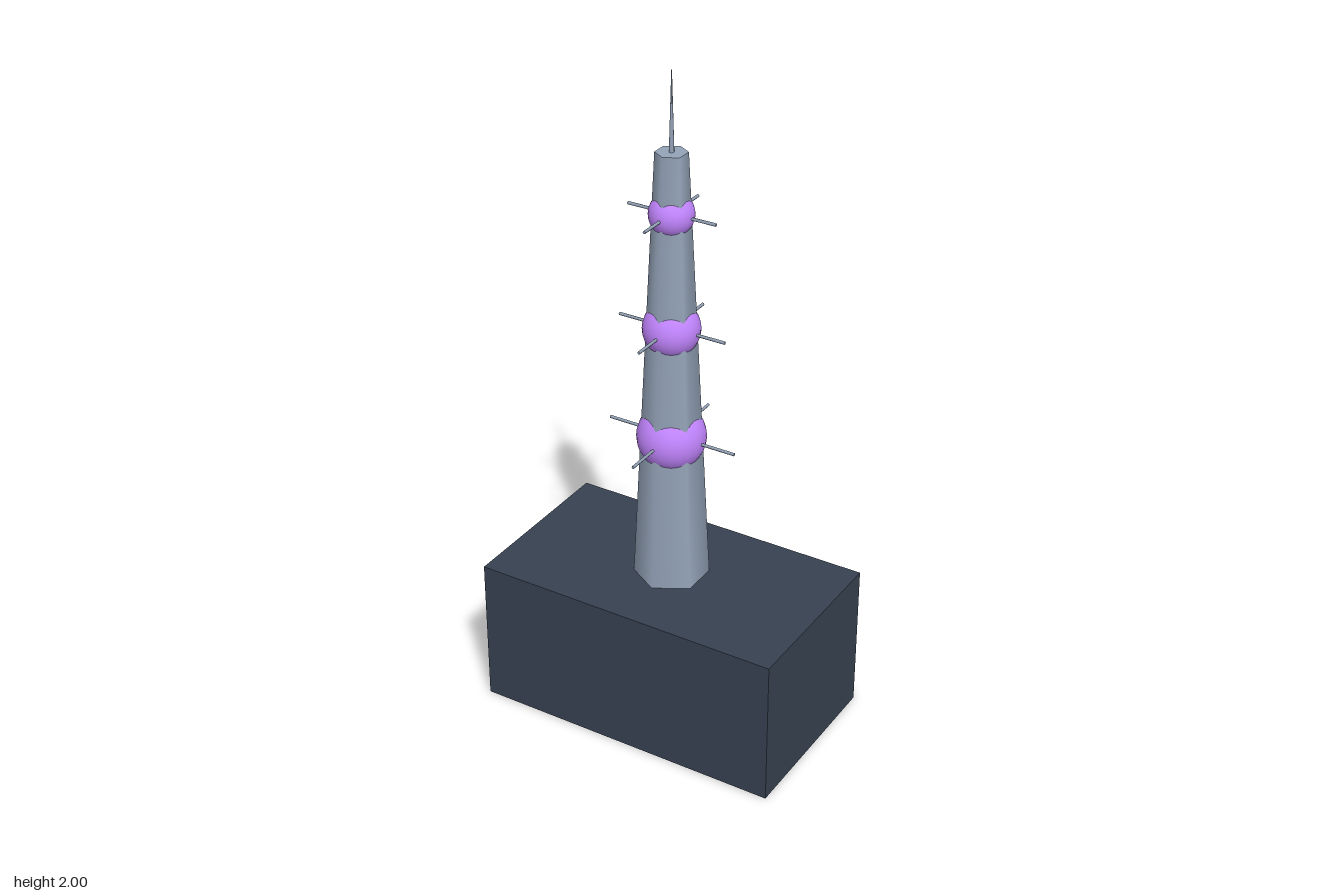
import * as THREE from 'three';

const paint = (color) => new THREE.MeshStandardMaterial({ color });

export function createModel() {
  const model = new THREE.Group();
  const slate = paint(0x374151);
  const steel = paint(0x94a3b8);
  const violet = paint(0xc084fc);

  const add = (name, geometry, material, y, parent = model) => {
    const mesh = new THREE.Mesh(geometry, material);
    mesh.name = name;
    mesh.position.y = y;
    parent.add(mesh);
    return mesh;
  };

  // Building block under the tower
  const baseH = 0.4545;
  add('base', new THREE.BoxGeometry(0.9545, baseH, 0.5455), slate, baseH / 2);

  // Tapered six-sided tower, a corner facing the front
  const towerTop = 1.7727;
  const towerH = towerTop - baseH;
  add('tower', new THREE.CylinderGeometry(0.0455, 0.11, towerH, 6), steel, baseH + towerH / 2);

  // Needle on the tower top
  const needleH = 2 - towerTop;
  add('antenna', new THREE.CylinderGeometry(0.001, 0.0075, needleH, 8), steel, towerTop + needleH / 2);

  // Three globes, each with four spikes: [height, globe radius, spike reach]
  const tiers = [
    [0.911, 0.1, 0.204],
    [1.252, 0.082, 0.169],
    [1.595, 0.0637, 0.1375],
  ];
  for (const [y, radius, reach] of tiers) {
    const tier = new THREE.Group();
    tier.name = 'globeTier';
    tier.position.y = y;
    model.add(tier);
    add('globe', new THREE.SphereGeometry(radius, 24, 16), violet, 0, tier);

    // Spikes point outwards along x and z
    const inner = radius * 0.6;
    const spike = new THREE.CylinderGeometry(0.0045, 0.0045, reach - inner, 6);
    spike.rotateZ(-Math.PI / 2).translate((reach + inner) / 2, 0, 0);
    for (let i = 0; i < 4; i++) {
      add('spike', spike, steel, 0, tier).rotation.y = (i * Math.PI) / 2;
    }
  }
  return model;
}
